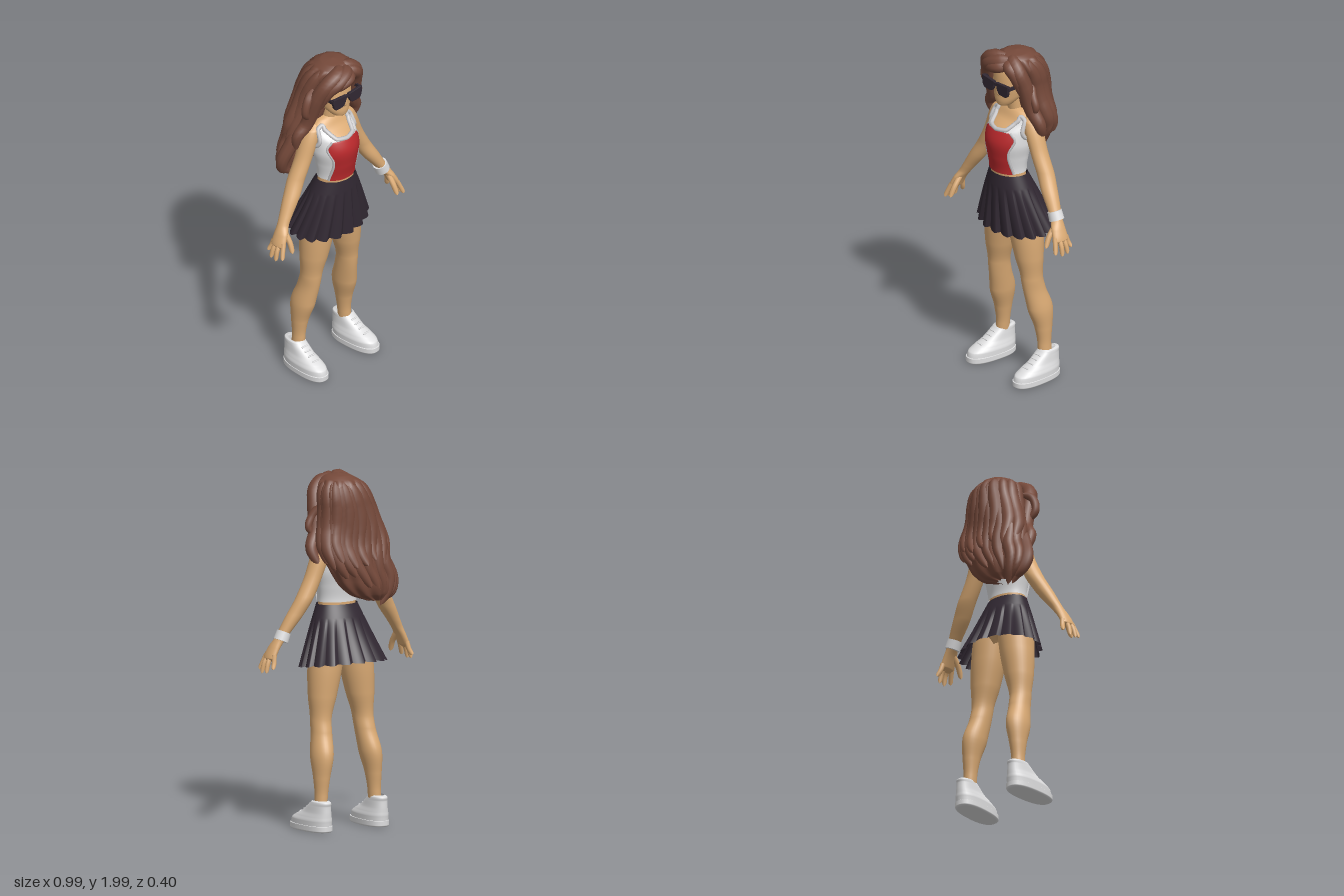
import * as THREE from 'three';
import { ParametricGeometry } from 'three/addons/geometries/ParametricGeometry.js';

const mat = (name, color, side = THREE.FrontSide) => {
  const m = new THREE.MeshStandardMaterial({ color, side });
  m.name = name;
  return m;
};

// Cross-section keys are [y, centreX, centreZ, halfWidth, frontDepth, backDepth], bottom to top.
// Monotone cubic interpolation of all columns of the keys.
function sample(keys, y) {
  const n = keys.length;
  let i = 0;
  while (i < n - 2 && y > keys[i + 1][0]) i++;
  const sec = (k, c) => (keys[k + 1][c] - keys[k][c]) / (keys[k + 1][0] - keys[k][0]);
  const slope = (k, c) => {
    if (k === 0) return sec(0, c);
    if (k === n - 1) return sec(n - 2, c);
    const p = sec(k - 1, c), q = sec(k, c);
    return p * q <= 0 ? 0 : (2 * p * q) / (p + q);
  };
  const h = keys[i + 1][0] - keys[i][0];
  const t = THREE.MathUtils.clamp((y - keys[i][0]) / h, 0, 1), t2 = t * t, t3 = t2 * t;
  return keys[i].map((v, c) => (2 * t3 - 3 * t2 + 1) * v + (t3 - 2 * t2 + t) * h * slope(i, c)
    + (3 * t2 - 2 * t3) * keys[i + 1][c] + (t3 - t2) * h * slope(i + 1, c));
}

// Point on a body of cross-sections; power < 1 makes the outline boxier
function onBody(keys, a, y, off = 0, out = new THREE.Vector3(), power = 1) {
  const [, cx, cz, rx, f, b] = sample(keys, y);
  const c = Math.cos(a), s = Math.sin(a);
  const sq = v => Math.sign(v) * Math.abs(v) ** power;
  return out.set(cx + sq(c) * (rx + off), y, cz + sq(s) * ((s > 0 ? f : b) + off));
}

function loft(keys, { seg = 32, power = 1, ridge = () => 0 } = {}) {
  const n = keys.length - 1;
  return new ParametricGeometry((u, v, p) => {
    const k = Math.min(Math.floor(v * n), n - 1), a = -u * Math.PI * 2;
    const y = THREE.MathUtils.lerp(keys[k][0], keys[k + 1][0], v * n - k);
    onBody(keys, a, y, ridge(a, y), p, power);
  }, seg, n * 5);
}

// Tube along points whose thickness follows profile(t)
function sweep(points, radius, profile, seg = 28, sides = 10) {
  const path = new THREE.CatmullRomCurve3(points.map(p => p.isVector3 ? p : new THREE.Vector3(...p)));
  const g = new THREE.TubeGeometry(path, seg, radius, sides);
  const pos = g.attributes.position, v = new THREE.Vector3();
  for (let i = 0; i <= seg; i++) {
    const c = path.getPointAt(i / seg), k = profile(i / seg);
    for (let j = 0; j <= sides; j++) {
      const id = i * (sides + 1) + j;
      v.fromBufferAttribute(pos, id).sub(c).multiplyScalar(k).add(c);
      pos.setXYZ(id, v.x, v.y, v.z);
    }
  }
  return g;
}
const lockShape = t => Math.min(1, Math.sqrt(t * 6)) * Math.sqrt(Math.max(0, 1 - t ** 4));
const fingerShape = t => Math.sqrt(Math.max(0, 1 - Math.max(0, (t - 0.75) / 0.25) ** 2)) * (1 - 0.15 * t);

const TORSO = [[0.97, 0, 0.035, 0.04, 0.06, 0.06], [1.05, 0, 0.04, 0.13, 0.1, 0.1], [1.2, 0, 0.07, 0.116, 0.09, 0.075],
  [1.28, 0, 0.07, 0.11, 0.095, 0.075], [1.36, 0, 0.065, 0.12, 0.115, 0.08], [1.45, 0, 0.06, 0.137, 0.13, 0.09],
  [1.52, 0, 0.05, 0.137, 0.115, 0.09], [1.58, 0, 0.03, 0.14, 0.065, 0.07], [1.62, 0, 0.025, 0.09, 0.045, 0.05],
  [1.64, 0, 0.02, 0.03, 0.03, 0.03]];
const HEAD = [[1.663, 0, 0.11, 0.001, 0.001, 0.001], [1.67, 0, 0.108, 0.035, 0.035, 0.03], [1.69, 0, 0.1, 0.06, 0.05, 0.05],
  [1.74, 0, 0.07, 0.092, 0.08, 0.08], [1.8, 0, 0.05, 0.108, 0.102, 0.11], [1.87, 0, 0.03, 0.112, 0.115, 0.12],
  [1.93, 0, 0.02, 0.09, 0.09, 0.1], [1.96, 0, 0.02, 0.03, 0.03, 0.03]];
const NECK = [[1.57, 0, 0.02, 0.07, 0.05, 0.05], [1.62, 0, 0.025, 0.047, 0.043, 0.045], [1.75, 0, 0.04, 0.045, 0.045, 0.05]];
const ARM = [[0.962, 0.455, 0.075, 0.001, 0.02, 0.02], [0.985, 0.447, 0.075, 0.024, 0.05, 0.05],
  [1.04, 0.42, 0.068, 0.028, 0.047, 0.042], [1.09, 0.388, 0.057, 0.033, 0.034, 0.034], [1.13, 0.362, 0.05, 0.038, 0.037, 0.037],
  [1.22, 0.303, 0.035, 0.05, 0.046, 0.045], [1.32, 0.245, 0.02, 0.052, 0.049, 0.049], [1.42, 0.195, 0.02, 0.05, 0.05, 0.05],
  [1.52, 0.155, 0.02, 0.052, 0.054, 0.054], [1.58, 0.132, 0.02, 0.046, 0.047, 0.047], [1.61, 0.115, 0.02, 0.015, 0.02, 0.02]];
const LEG = [[0.12, 0.182, -0.035, 0.035, 0.04, 0.04], [0.2, 0.177, -0.035, 0.036, 0.04, 0.04],
  [0.3, 0.172, -0.03, 0.045, 0.05, 0.055], [0.43, 0.16, -0.015, 0.06, 0.077, 0.08], [0.55, 0.145, 0.01, 0.056, 0.072, 0.065],
  [0.62, 0.14, 0.025, 0.058, 0.065, 0.065], [0.75, 0.125, 0.03, 0.08, 0.085, 0.08], [0.9, 0.106, 0.035, 0.096, 0.1, 0.095],
  [1.02, 0.09, 0.04, 0.1, 0.105, 0.1], [1.1, 0.07, 0.05, 0.08, 0.09, 0.09]];
const SOLE = [[0, 0, 0.03, 0.0005, 0.0005, 0.0005], [0.001, 0, 0.03, 0.066, 0.163, 0.143], [0.01, 0, 0.03, 0.071, 0.17, 0.15],
  [0.034, 0, 0.03, 0.071, 0.17, 0.15], [0.038, 0, 0.03, 0.06, 0.155, 0.14]];
const SHOE = [[0.03, 0, 0.03, 0.068, 0.166, 0.147], [0.06, 0, 0.025, 0.068, 0.163, 0.145], [0.085, 0, 0.01, 0.061, 0.14, 0.13],
  [0.11, 0, -0.01, 0.053, 0.105, 0.11], [0.145, 0, -0.025, 0.048, 0.066, 0.094], [0.168, 0, -0.037, 0.044, 0.048, 0.083],
  [0.176, 0, -0.037, 0.034, 0.038, 0.06]];
const SKIRT = [[0.925, 0, 0.015, 0.262, 0.172, 0.178], [1.05, 0, 0.04, 0.208, 0.145, 0.145],
  [1.17, 0, 0.06, 0.158, 0.12, 0.115], [1.255, 0, 0.07, 0.122, 0.103, 0.083]];
const HAIR = [[1.28, -0.14, -0.1, 0.05, 0.03, 0.03], [1.32, -0.11, -0.1, 0.13, 0.045, 0.06], [1.4, -0.075, -0.09, 0.18, 0.055, 0.085],
  [1.5, -0.03, -0.08, 0.19, 0.06, 0.09], [1.6, -0.015, -0.06, 0.2, 0.07, 0.09], [1.7, -0.01, -0.04, 0.18, 0.08, 0.1],
  [1.8, 0, -0.02, 0.16, 0.08, 0.115], [1.88, 0.01, 0, 0.148, 0.1, 0.125], [1.94, 0.015, 0.02, 0.118, 0.115, 0.115],
  [1.978, 0.02, 0.03, 0.07, 0.08, 0.075], [1.99, 0.02, 0.03, 0.0005, 0.0005, 0.0005]];
// Height of the shirt's upper edge against |cos(angle)|: scoop, strap, armhole
const NECKLINE = [[0, 1.527], [0.42, 1.535], [0.6, 1.575], [0.74, 1.605], [0.84, 1.6], [0.92, 1.54], [1, 1.49]];
// Half width of the front panel as a share of the chest width
const PANEL = [[1.268, 0.82], [1.4, 0.66], [1.485, 0.8], [1.525, 0.6]];

export function createModel() {
  const root = new THREE.Group();
  const skin = mat('skin', 0xdaaa74), brown = mat('hair brown', 0x75493a), dark = mat('dark cloth', 0x312832, THREE.DoubleSide);
  const white = mat('white', 0xdededf, THREE.DoubleSide), grey = mat('trim grey', 0xc6c5c7), red = mat('red', 0xb8282b, THREE.DoubleSide);
  const add = (name, geo, m, parent = root) => {
    const mesh = new THREE.Mesh(geo, m);
    mesh.name = name;
    parent.add(mesh);
    return mesh;
  };
  const group = name => {
    const g = new THREE.Group();
    g.name = name;
    root.add(g);
    return g;
  };

  // Body
  add('torso', loft(TORSO), skin);
  add('neck', loft(NECK), skin);
  add('head', loft(HEAD), skin);
  const nose = add('nose', new THREE.SphereGeometry(0.014, 14, 10), skin);
  nose.position.set(0, 1.75, 0.147);
  nose.scale.set(0.9, 1.4, 1);

  // Limbs and shoes, mirrored
  for (const [s, side] of [[1, 'left'], [-1, 'right']]) {
    const flip = keys => keys.map(([y, x, ...r]) => [y, s * x, ...r]);
    add(side + 'Arm', loft(flip(ARM), { seg: 24 }), skin);
    add(side + 'Leg', loft(flip(LEG)), skin);
    const hand = group(side + 'Fingers');
    for (let i = 0; i < 4; i++) {
      const bend = (i - 1.7) ** 2, z = 0.037 + i * 0.025, spread = (i - 1.5) * 0.016;
      const tipX = 0.487 - 0.007 * bend, tipY = 0.895 + 0.01 * bend;
      add('finger', sweep([[s * 0.442, 1.0, z], [s * (tipX - 0.015), 0.955, z + spread * 0.5], [s * tipX, tipY, z + spread]],
        0.0145, fingerShape, 12, 8), skin, hand);
    }
    add('thumb', sweep([[s * 0.405, 1.055, 0.08], [s * 0.405, 0.995, 0.125], [s * 0.41, 0.935, 0.152]], 0.017, fingerShape, 12, 8), skin, hand);

    const shoe = group(side + 'Shoe');
    shoe.position.x = s * 0.192;
    shoe.rotation.y = s * 0.05;
    add('sole', loft(SOLE, { power: 0.8 }), white, shoe);
    add('upper', loft(SHOE, { power: 0.85 }), white, shoe);
    for (let i = 0; i < 4; i++) {
      const y = 0.098 + i * 0.018, front = sample(SHOE, y);
      const lace = add('lace', new THREE.CapsuleGeometry(0.005, 0.035, 4, 8), white, shoe);
      lace.position.set(0, y, front[2] + front[4] - 0.003);
      lace.rotation.z = Math.PI / 2;
    }
  }
  const band = add('wristband', new THREE.CylinderGeometry(0.041, 0.043, 0.052, 24), white);
  band.position.set(0.378, 1.1, 0.053);
  band.rotation.z = 0.4;

  // Shirt with front panel and trims
  const shirtTop = a => sample(NECKLINE, Math.abs(Math.cos(a)))[1];
  add('shirt', new ParametricGeometry((u, v, p) => {
    const a = -u * Math.PI * 2;
    onBody(TORSO, a, THREE.MathUtils.lerp(1.268, shirtTop(a), v), 0.006, p);
  }, 72, 24), white);
  add('frontPanel', new ParametricGeometry((u, v, p) => {
    const y = THREE.MathUtils.lerp(1.266, 1.525, v), w = sample(PANEL, y)[1];
    onBody(TORSO, Math.acos((u * 2 - 1) * w), y, 0.01, p);
  }, 24, 24), red);
  const edge = [];
  for (let i = 0; i < 72; i++) {
    const a = i / 72 * Math.PI * 2;
    edge.push(onBody(TORSO, a, shirtTop(a), 0.005));
  }
  add('shirtTrim', new THREE.TubeGeometry(new THREE.CatmullRomCurve3(edge, true), 160, 0.013, 8, true), grey);
  for (const s of [1, -1]) {
    const seam = PANEL.map(([y, w]) => onBody(TORSO, Math.acos(s * (w + 0.03)), y, 0.005));
    add('panelPiping', new THREE.TubeGeometry(new THREE.CatmullRomCurve3(seam), 24, 0.008, 6), grey);
  }

  // Pleated skirt with a smooth waistband, hem dipping at the front
  add('skirt', new ParametricGeometry((u, v, p) => {
    const a = -u * Math.PI * 2, y = THREE.MathUtils.lerp(0.925, 1.255, v);
    const low = THREE.MathUtils.clamp((1.18 - y) / 0.255, 0, 1), f = (u * 18) % 1;
    const saw = f < 0.75 ? Math.sin(f / 0.75 * Math.PI / 2) : (1 - f) / 0.25;
    onBody(SKIRT, a, y, 0.024 * low ** 0.7 * (saw - 0.65), p);
    p.y -= low * (0.022 * Math.sin(a) + 0.006 * saw);
  }, 288, 24), dark);

  // Sunglasses
  const glasses = group('sunglasses');
  for (const s of [1, -1]) {
    const lens = new THREE.Shape();
    lens.moveTo(s * 0.012, 1.818);
    lens.lineTo(s * 0.107, 1.826);
    lens.quadraticCurveTo(s * 0.109, 1.76, s * 0.083, 1.758);
    lens.lineTo(s * 0.04, 1.758);
    lens.quadraticCurveTo(s * 0.017, 1.762, s * 0.012, 1.818);
    add('lens', new THREE.ExtrudeGeometry(lens, { depth: 0.012, bevelSize: 0.003, bevelThickness: 0.003, bevelSegments: 2 }), dark, glasses)
      .position.z = 0.16;
    const temple = add('temple', new THREE.BoxGeometry(0.01, 0.02, 0.12), dark, glasses);
    temple.position.set(s * 0.11, 1.812, 0.11);
  }
  add('bridge', new THREE.BoxGeometry(0.04, 0.016, 0.014), dark, glasses).position.set(0, 1.808, 0.167);

  // Hair: ridged core, two layers of falling locks, then the swept front
  const hair = group('hair');
  add('hairCore', loft(HAIR, { seg: 96, ridge: (a, y) => y > 1.96 ? 0 : 0.006 * Math.sin(10 * a + 9 * y) }), brown, hair);
  const fall = (count, end, radius, lift, phase) => {
    for (let i = 0; i < count; i++) {
      const a0 = Math.PI - 0.4 + (i + phase) / count * (Math.PI + 0.8), pts = [];
      const last = end(a0) + 0.02 * Math.sin(i * 2.4);
      for (let k = 0; k <= 9; k++) {
        const t = k / 9, y = THREE.MathUtils.lerp(1.965, last, t);
        const wave = 0.008 * Math.sin(t * 9 + i) * t + lift * t ** 4;
        pts.push(onBody(HAIR, a0 + 0.12 * t * Math.sin(t * 7 + i * 0.6), y, wave - radius * 0.45));
      }
      add('lock', sweep(pts, radius, t => lockShape(t) * (0.5 + 0.5 * Math.min(1, t * 2.5)), 32, 12), brown, hair);
    }
  };
  fall(10, a => 1.35 + 0.1 * Math.cos(a), 0.044, 0.012, 0.5);
  fall(9, () => 1.49, 0.05, 0.03, 0.4);

  const lock = (name, radius, ...pts) => add(name, sweep(pts, radius, lockShape, 36), brown, hair);
  lock('rightFrontLock', 0.045, [0.04, 1.945, 0.06], [-0.04, 1.95, 0.13], [-0.11, 1.91, 0.125], [-0.15, 1.83, 0.09],
    [-0.18, 1.64, 0.03], [-0.23, 1.57, 0.01], [-0.22, 1.46, -0.02]);
  lock('rightFringe', 0.04, [0.05, 1.94, 0.08], [0.01, 1.945, 0.145], [-0.06, 1.915, 0.158], [-0.11, 1.87, 0.13], [-0.14, 1.72, 0.06]);
  lock('quiff', 0.034, [0.05, 1.93, 0.1], [0.02, 1.92, 0.165], [-0.04, 1.9, 0.168], [-0.09, 1.87, 0.14]);
  lock('leftFrontLock', 0.045, [0, 1.948, 0.05], [0.07, 1.945, 0.1], [0.12, 1.9, 0.105], [0.142, 1.82, 0.08],
    [0.162, 1.67, 0.045], [0.205, 1.58, 0.02], [0.165, 1.47, -0.02]);
  lock('leftFringe', 0.034, [0.03, 1.94, 0.11], [0.08, 1.928, 0.14], [0.115, 1.88, 0.125], [0.135, 1.72, 0.06]);
  lock('rightCurl', 0.024, [-0.14, 1.86, 0.04], [-0.2, 1.82, 0.06], [-0.22, 1.74, 0.06], [-0.16, 1.67, 0.04]);
  lock('leftCurl', 0.024, [0.14, 1.82, 0.03], [0.18, 1.76, 0.05], [0.205, 1.7, 0.05], [0.18, 1.65, 0.04]);
  lock('longRightLock', 0.04, [-0.17, 1.62, -0.02], [-0.23, 1.5, -0.04], [-0.27, 1.39, -0.07], [-0.25, 1.32, -0.09], [-0.19, 1.28, -0.1]);
  return root;
}
